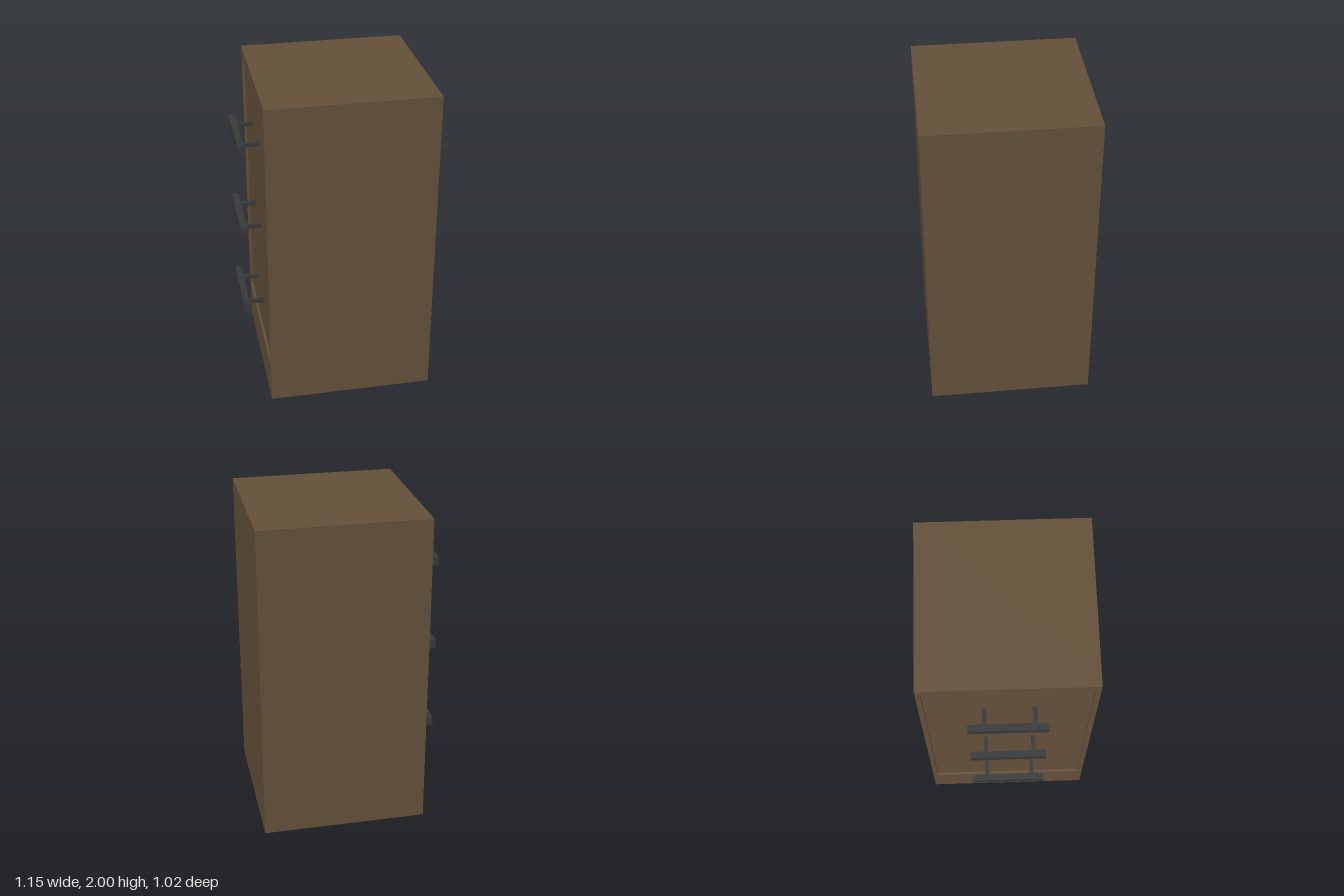
import * as THREE from 'three';

const X0 = -0.45, X1 = 0.575, W = 1.02, H = 2;     // cabinet extents
const RECESS = 0.015, MARGIN = 0.03;               // drawer opening
const Y0 = 0.255, Y1 = 1.935;

const wood = new THREE.MeshStandardMaterial({ color: 0x64513a, side: THREE.DoubleSide });
const metal = new THREE.MeshStandardMaterial({ color: 0x383939 });

function add(parent, name, geometry, material, x = 0, y = 0, z = 0) {
  const mesh = new THREE.Mesh(geometry, material);
  mesh.name = name;
  mesh.position.set(x, y, z);
  parent.add(mesh);
  return mesh;
}

// Box with chosen faces left out (order: +x, -x, +y, -y, +z, -z)
function openBox(w, h, d, omit) {
  const g = new THREE.BoxGeometry(w, h, d);
  g.setIndex(Array.from(g.index.array).filter((_, i) => !omit.includes(Math.floor(i / 6))));
  g.clearGroups();
  return g;
}

function rectangle(target, x0, y0, x1, y1) {
  target.moveTo(x0, y0);
  target.lineTo(x1, y0);
  target.lineTo(x1, y1);
  target.lineTo(x0, y1);
  target.closePath();
  return target;
}

// Bar handle on two posts, origin at its height on the cabinet face
function makeHandle() {
  const handle = new THREE.Group();
  handle.name = 'handle';
  add(handle, 'handleBar', new THREE.BoxGeometry(0.04, 0.054, 0.465), metal, -0.555, 0, -0.002);
  const inner = X0 + RECESS, outer = -0.54;
  for (const z of [-0.137, 0.156]) {
    add(handle, 'handlePost', new THREE.BoxGeometry(inner - outer, 0.024, 0.024), metal, (inner + outer) / 2, 0, z);
  }
  return handle;
}

export function createModel() {
  const model = new THREE.Group();
  model.name = 'drawerCabinet';

  // Carcass, open on the drawer side
  add(model, 'carcass', openBox(X1 - X0, H, W, [1]), wood, (X0 + X1) / 2, H / 2, 0);

  // Face frame around the drawer opening
  const half = W / 2, open = half - MARGIN;
  const frame = rectangle(new THREE.Shape(), -half, 0, half, H);
  frame.holes.push(rectangle(new THREE.Path(), -open, Y0, open, Y1));
  add(model, 'faceFrame', new THREE.ShapeGeometry(frame).rotateY(-Math.PI / 2), wood, X0);
  add(model, 'openingEdges', openBox(RECESS, Y1 - Y0, open * 2, [0, 1]), wood, X0 + RECESS / 2, (Y0 + Y1) / 2, 0);

  // Three abutting drawer fronts with handles
  const drawerHeight = (Y1 - Y0) / 3;
  [0.525, 1.077, 1.63].forEach((handleY, i) => {
    const drawer = new THREE.Group();
    drawer.name = 'drawer' + (i + 1);
    add(drawer, 'drawerFront', new THREE.BoxGeometry(0.03, drawerHeight, open * 2), wood,
      X0 + RECESS + 0.015, Y0 + drawerHeight * (i + 0.5), 0);
    const handle = makeHandle();
    handle.position.y = handleY;
    drawer.add(handle);
    model.add(drawer);
  });

  return model;
}
